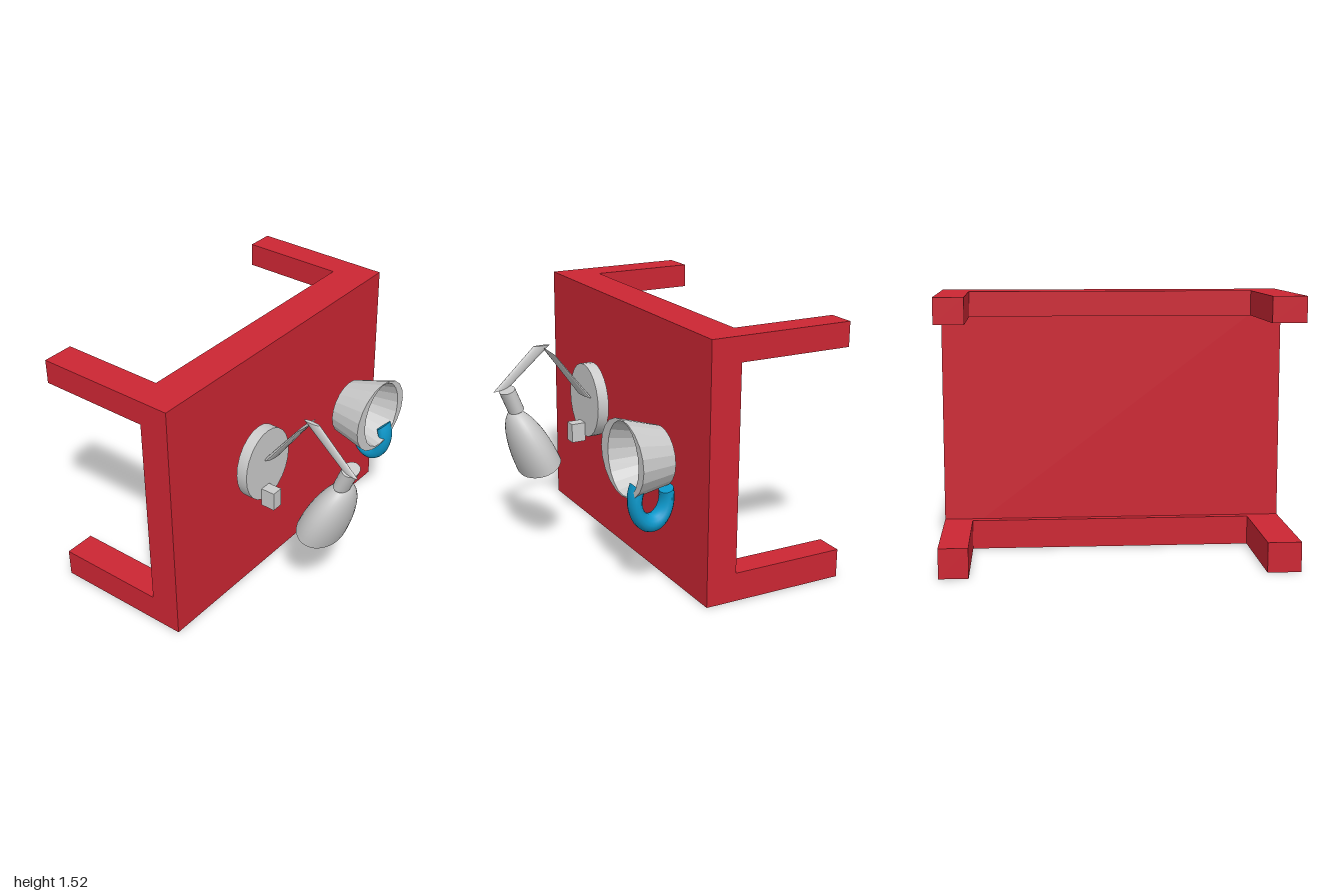
import * as THREE from 'three';
import { toCreasedNormals } from 'three/addons/utils/BufferGeometryUtils.js';

const V = (x, y, z) => new THREE.Vector3(x, y, z);
const ring = (c, u, v) => ({ c: V(...c), u: V(...u), v: V(...v) });
const point = (c) => ring(c, [0, 0, 0], [0, 0, 0]);
// upright ellipse facing z
const oval = (x, y, z, rx, ry) => ring([x, y, z], [rx, 0, 0], [0, ry, 0]);

// Skin through elliptical rings; u x v points along the path.
function loft(rings, sides, crease) {
  const pos = [];
  const at = (r, j) => {
    const a = (j / sides) * Math.PI * 2;
    return r.c.clone().addScaledVector(r.u, Math.cos(a)).addScaledVector(r.v, Math.sin(a));
  };
  const tri = (...p) => p.forEach((q) => pos.push(q.x, q.y, q.z));
  for (let i = 0; i < rings.length - 1; i++) {
    const [r, s] = [rings[i], rings[i + 1]];
    for (let j = 0; j < sides; j++) {
      if (r.u.length() > 0) tri(at(r, j), at(r, j + 1), at(s, j + 1));
      if (s.u.length() > 0) tri(at(r, j), at(s, j + 1), at(s, j));
    }
  }
  const g = new THREE.BufferGeometry();
  g.setAttribute('position', new THREE.Float32BufferAttribute(pos, 3));
  return toCreasedNormals(g, crease);
}

const capped = (rings) => [
  point(rings[0].c.toArray()), ...rings, point(rings[rings.length - 1].c.toArray()),
];

export function createModel() {
  const model = new THREE.Group();
  const grey = new THREE.MeshStandardMaterial({ color: 0xcccccc });
  const greyThin = new THREE.MeshStandardMaterial({ color: 0xcccccc, side: THREE.DoubleSide });
  const red = new THREE.MeshStandardMaterial({ color: 0xcc2633 });
  const blue = new THREE.MeshStandardMaterial({ color: 0x0d99cc });

  const group = (name) => {
    const g = new THREE.Group();
    g.name = name;
    model.add(g);
    return g;
  };
  const add = (parent, name, geometry, material = grey) => {
    const m = new THREE.Mesh(geometry, material);
    m.name = name;
    parent.add(m);
    return m;
  };
  // box given by its extents on each axis
  const box = (parent, name, [x0, x1], [y0, y1], [z0, z1], material) => {
    const g = new THREE.BoxGeometry(x1 - x0, y1 - y0, z1 - z0);
    g.translate((x0 + x1) / 2, (y0 + y1) / 2, (z0 + z1) / 2);
    return add(parent, name, g, material);
  };

  // Table turned on its side: top panel, two rails and four legs
  const table = group('table');
  const H = 1.525;
  box(table, 'tableTop', [-1, 1], [0, H], [-0.105, 0.08], red);
  for (const [level, y] of [['lower', [0, 0.17]], ['upper', [1.38, H]]]) {
    box(table, level + 'Rail', [-0.81, 0.835], y, [-0.155, -0.105], red);
    box(table, level + 'RightLeg', [-1, -0.81], y, [-0.795, -0.105], red);
    box(table, level + 'LeftLeg', [0.835, 1], y, [-0.795, -0.105], red);
  }

  // Lamp: base disc, switch, two flat arms, socket, shade and bulb
  const lamp = group('lamp');
  add(lamp, 'lampBase', loft(capped([
    oval(-0.3, 0.86, 0.132, 0.2, 0.23), oval(-0.3, 0.86, 0.202, 0.2, 0.23),
  ]), 24, 0.5));
  box(lamp, 'switch', [-0.36, -0.29], [0.6, 0.717], [0.2, 0.29], grey);
  add(lamp, 'lowerArm', loft(capped([
    ring([-0.265, 1.208, 0.445], [0.07, 0, 0], [0, 0.025, 0.032]),
    ring([-0.265, 0.905, 0.215], [0.07, 0, 0], [0, 0.008, 0.03]),
  ]), 24, 0.6));
  add(lamp, 'upperArm', loft(capped([
    ring([-0.275, 1.247, 0.487], [0.012, 0, 0], [0, 0, 0.053]),
    ring([-0.275, 1.01, 0.75], [0.012, 0, 0], [0, -0.01, 0.05]),
  ]), 24, 0.6));
  add(lamp, 'socket', loft(capped([
    ring([-0.238, 1.015, 0.73], [0.068, 0, 0], [0, -0.016, 0.044]),
    ring([-0.238, 0.885, 0.677], [0.068, 0, 0], [0, -0.016, 0.044]),
  ]), 24, 0.6));

  // Tilted half-ellipsoid shade, open below
  const shade = [];
  for (let i = 0; i <= 14; i++) {
    const a = (i / 14) * Math.PI / 2;
    const h = 0.39 * Math.cos(a), r = Math.sin(a);
    shade.push(ring([-0.23, 0.528 + 0.915 * h, 0.543 + 0.4 * h],
      [0.2 * r, 0, 0], [0, -0.051 * r, 0.117 * r]));
  }
  add(lamp, 'shade', loft(shade, 32, 0.6), greyThin);
  const bulb = add(lamp, 'bulb', new THREE.SphereGeometry(0.055, 20, 14));
  bulb.position.set(-0.23, 0.56, 0.555);
  bulb.scale.x = 1.4;

  // Cup lying on its side, mouth forward, with a thick rim
  const cup = group('cup');
  add(cup, 'cupBody', loft(capped([
    oval(0.593, 0.78, 0.155, 0.178, 0.172),
    oval(0.593, 0.8, 0.395, 0.258, 0.223),
    oval(0.605, 0.8, 0.395, 0.185, 0.215),
    oval(0.607, 0.8, 0.185, 0.1375, 0.155),
  ]), 20, 0.1));

  // U-shaped handle
  const handle = [];
  for (let i = 0; i <= 24; i++) {
    const a = THREE.MathUtils.degToRad(32 - (i / 24) * 230);
    const s = 1.43 * Math.sin(a), c = Math.cos(a);
    handle.push(ring([0.7, 0.58 + 0.1 * s, 0.272 + 0.1 * c],
      [0.06, 0, 0], [0, 0.0375 * s, 0.0375 * c]));
  }
  add(cup, 'handle', loft(capped(handle), 14, 0.7), blue);

  return model;
}
